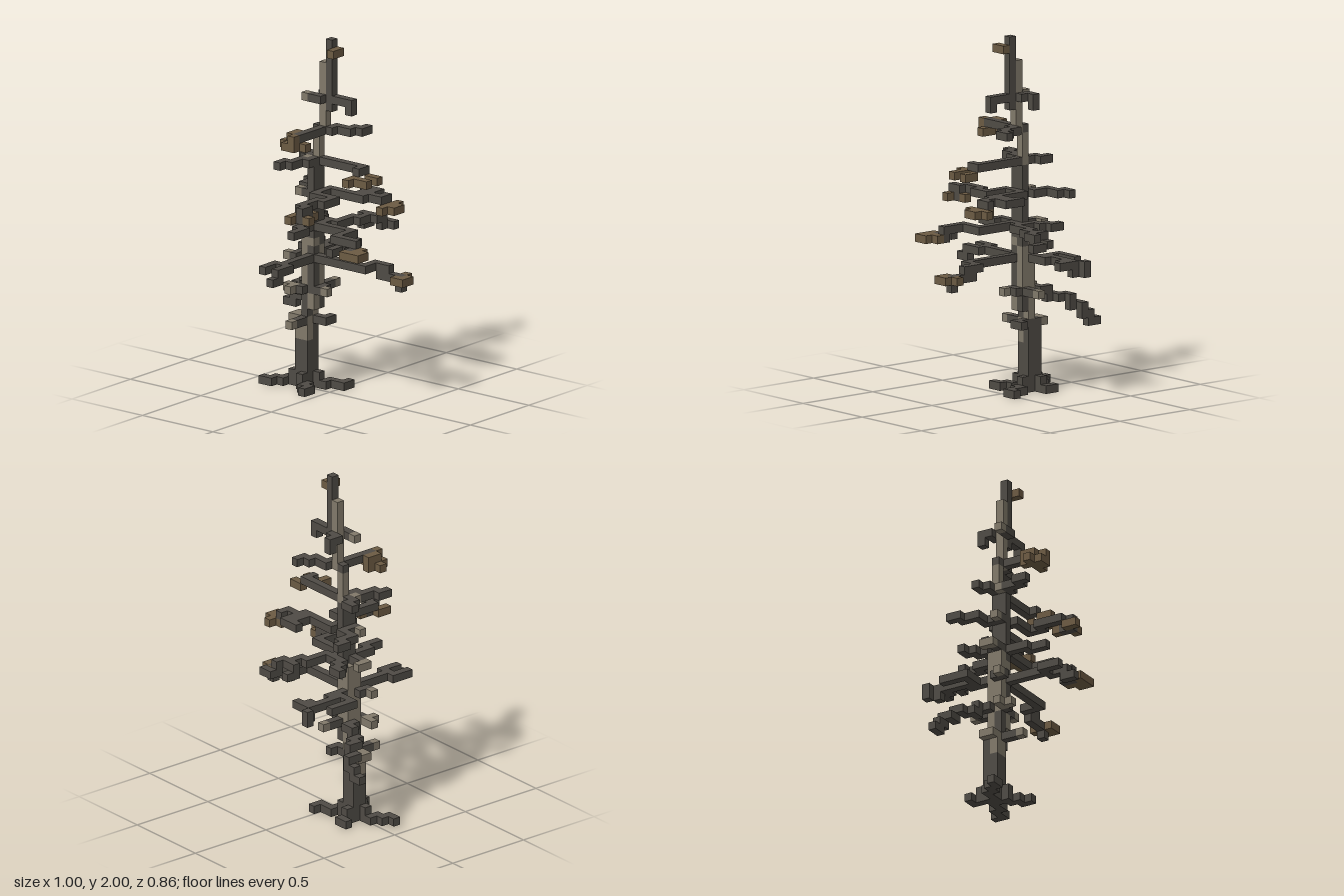
import * as THREE from 'three';
import { mergeGeometries } from 'three/addons/utils/BufferGeometryUtils.js';

const V = 1 / 22; // block size; the tree is 22 x 44 x 19 blocks

const materials = {
  dark: new THREE.MeshStandardMaterial({ name: 'darkBark', color: 0x4f4b45 }),
  pale: new THREE.MeshStandardMaterial({ name: 'paleBark', color: 0x81796a }),
  brown: new THREE.MeshStandardMaterial({ name: 'witheredTip', color: 0x6c5b43 }),
};

export function createModel() {
  const model = new THREE.Group();
  model.name = 'deadTree';
  const taken = new Set(); // each block is placed only once

  // Turns a list of [x, y, z] blocks into one named mesh
  function addBlocks(name, colour, blocks) {
    const boxes = [];
    for (const [x, y, z] of blocks) {
      const key = `${x},${y},${z}`;
      if (taken.has(key)) continue;
      taken.add(key);
      const box = new THREE.BoxGeometry(V, V, V);
      box.translate((x - 10.5) * V, (y + 0.5) * V, (z - 9) * V);
      boxes.push(box);
    }
    if (!boxes.length) return;
    const mesh = new THREE.Mesh(mergeGeometries(boxes), materials[colour]);
    mesh.name = name;
    model.add(mesh);
  }

  // Walks level y through [x, z] corners, sideways first, then in depth
  function limb(name, colour, y, corners) {
    let [x, z] = corners[0];
    const blocks = [[x, y, z]];
    for (const [tx, tz] of corners.slice(1)) {
      while (x !== tx) blocks.push([(x += Math.sign(tx - x)), y, z]);
      while (z !== tz) blocks.push([x, y, (z += Math.sign(tz - z))]);
    }
    addBlocks(name, colour, blocks);
  }

  // Upright run of blocks
  function column(colour, x, z, y0, y1) {
    const blocks = [];
    for (let y = y0; y <= y1; y++) blocks.push([x, y, z]);
    addBlocks('trunk', colour, blocks);
  }

  // Trunk: thick foot, stepping sideways and thinning to the top
  for (const x of [6, 7]) {
    column('dark', x, 8, 0, 8);
    column('dark', x, 9, 0, 5);
    column('pale', x, 9, 6, 8);
  }
  column('pale', 7, 8, 9, 19);
  column('dark', 7, 9, 9, 11);
  column('pale', 7, 9, 12, 19);
  column('dark', 8, 8, 10, 11);
  column('pale', 8, 8, 12, 17);
  column('dark', 8, 8, 18, 27);
  column('pale', 8, 9, 10, 11);
  column('dark', 8, 9, 12, 17);
  column('pale', 8, 9, 18, 18);
  column('dark', 8, 9, 19, 27);
  column('pale', 8, 8, 28, 31);
  column('dark', 8, 8, 32, 32);
  column('pale', 9, 8, 32, 40);
  column('dark', 10, 8, 35, 43);
  limb('topTip', 'brown', 42, [[11, 8], [11, 9]]);

  // Roots
  limb('root', 'dark', 0, [[5, 9], [4, 9], [4, 10], [3, 10], [3, 11], [2, 11]]);
  limb('root', 'dark', 0, [[8, 8], [9, 8], [9, 7], [11, 7], [11, 6]]);
  limb('root', 'dark', 0, [[7, 10], [8, 10], [8, 11], [9, 11], [9, 12]]);
  limb('root', 'dark', 0, [[6, 7], [6, 6], [5, 6]]);
  addBlocks('rootCollar', 'dark', [[5, 1, 9], [8, 1, 8], [7, 1, 10], [6, 1, 7]]);

  // Low stubs
  limb('lowStub', 'pale', 8, [[5, 9], [5, 8]]);
  limb('lowStub', 'dark', 8, [[8, 8], [9, 8], [9, 7]]);
  limb('lowStub', 'dark', 8, [[7, 10], [7, 11]]);
  limb('lowStub', 'pale', 8, [[7, 12]]);
  limb('lowStub', 'dark', 12, [[9, 8], [9, 9]]);
  limb('lowStub', 'pale', 12, [[10, 9]]);
  limb('lowStub', 'dark', 12, [[8, 7], [8, 6]]);
  limb('lowStub', 'pale', 12, [[8, 5]]);
  limb('lowStub', 'dark', 12, [[7, 10]]);
  limb('lowStub', 'pale', 12, [[5, 10], [6, 10], [6, 11]]);

  // Drooping low branch on the right
  limb('droopingBranch', 'dark', 12, [[6, 8], [6, 7], [5, 7]]);
  limb('droopingBranch', 'dark', 11, [[5, 7], [4, 7], [4, 6], [3, 6], [3, 5]]);
  limb('droopingBranch', 'dark', 10, [[3, 5], [2, 5], [2, 4]]);
  limb('droopingBranch', 'dark', 9, [[2, 4], [1, 4]]);
  limb('droopingBranch', 'dark', 8, [[1, 4], [0, 4]]);

  // Widest whorl
  limb('whorl1Branch', 'dark', 16, [[9, 9], [16, 9], [16, 7], [18, 7]]);
  limb('whorl1Branch', 'dark', 15, [[17, 7], [20, 7]]);
  limb('whorl1Tip', 'brown', 15, [[21, 7], [21, 8], [20, 8]]);
  limb('whorl1Tip', 'brown', 15, [[20, 6]]);
  limb('whorl1Tip', 'dark', 14, [[20, 7]]);
  limb('whorl1Branch', 'dark', 16, [[8, 10], [8, 15], [9, 15], [9, 17]]);
  limb('whorl1Branch', 'dark', 15, [[9, 17], [9, 18]]);
  limb('whorl1Branch', 'dark', 16, [[8, 15], [7, 15], [7, 17]]);
  limb('whorl1Branch', 'dark', 16, [[7, 7], [7, 5], [6, 5], [6, 1], [8, 1]]);
  limb('whorl1Branch', 'dark', 16, [[7, 2]]);
  limb('whorl1Branch', 'dark', 15, [[6, 1]]);
  limb('whorl1Branch', 'dark', 16, [[5, 0]]);
  limb('whorl1Branch', 'dark', 15, [[5, 0]]);
  limb('whorl1Branch', 'dark', 16, [[6, 6], [4, 6], [4, 3]]);
  limb('whorl1Branch', 'dark', 16, [[6, 9], [6, 10]]);
  limb('whorl1Branch', 'pale', 16, [[5, 10]]);

  // Second whorl
  limb('whorl2Branch', 'dark', 20, [[9, 9], [14, 9], [14, 12], [17, 12]]);
  limb('whorl2Branch', 'dark', 19, [[15, 13], [15, 14]]);
  limb('whorl2Branch', 'dark', 19, [[17, 12], [17, 13]]);
  limb('whorl2Tip', 'brown', 19, [[17, 14], [19, 14], [19, 13], [18, 13], [18, 12]]);
  limb('whorl2Branch', 'dark', 20, [[9, 8], [9, 7], [10, 7], [10, 4], [11, 4], [11, 2], [12, 2], [12, 1]]);
  limb('whorl2Branch', 'dark', 20, [[10, 2]]);
  limb('whorl2Branch', 'dark', 19, [[10, 2], [10, 1]]);
  limb('whorl2Branch', 'dark', 19, [[12, 1], [12, 0], [13, 0]]);
  limb('whorl2Branch', 'dark', 20, [[8, 7], [7, 7], [7, 6], [6, 6], [6, 5], [5, 5]]);
  limb('whorl2Branch', 'dark', 20, [[8, 10], [8, 12], [9, 12], [9, 14]]);
  limb('whorl2Branch', 'dark', 20, [[7, 9], [6, 9]]);
  limb('whorl2Tip', 'pale', 20, [[5, 9], [5, 8]]);

  // Third whorl
  limb('whorl3Branch', 'dark', 24, [[9, 8], [9, 7], [14, 7], [14, 6], [16, 6], [16, 5]]);
  limb('whorl3Branch', 'dark', 24, [[13, 6], [13, 5], [14, 5], [14, 4], [12, 4]]);
  limb('whorl3Tip', 'brown', 23, [[16, 5], [18, 5], [18, 6], [17, 6], [17, 7]]);
  limb('whorl3Tip', 'brown', 23, [[17, 4]]);
  limb('whorl3Branch', 'dark', 24, [[9, 9], [9, 10], [12, 10], [12, 12], [11, 12], [11, 15], [12, 15], [12, 16]]);
  limb('whorl3Branch', 'dark', 23, [[12, 15], [12, 16]]);
  limb('whorl3Tip', 'brown', 23, [[11, 16], [11, 17]]);
  limb('whorl3Tip', 'brown', 23, [[12, 14]]);
  limb('whorl3Tip', 'brown', 23, [[13, 16]]);
  limb('whorl3Branch', 'dark', 24, [[7, 8], [7, 7], [5, 7], [5, 5], [4, 5], [4, 4]]);
  limb('whorl3Branch', 'dark', 24, [[7, 9]]);
  limb('whorl3Tip', 'pale', 24, [[6, 9]]);

  // Fourth whorl
  limb('whorl4Branch', 'dark', 28, [[9, 8], [15, 8], [15, 9]]);
  limb('whorl4Tip', 'brown', 27, [[15, 11], [15, 10], [17, 10]]);
  limb('whorl4Tip', 'brown', 27, [[16, 8], [17, 8]]);
  limb('whorl4Branch', 'dark', 28, [[7, 8], [6, 8], [6, 7], [5, 7]]);
  limb('whorl4Branch', 'dark', 28, [[8, 9], [8, 10], [7, 10], [7, 12], [6, 12], [6, 13]]);
  limb('whorl4Tip', 'pale', 28, [[7, 9]]);

  // Fifth whorl
  limb('whorl5Branch', 'dark', 32, [[10, 8], [10, 7], [12, 7], [12, 6], [13, 6], [13, 5]]);
  limb('whorl5Branch', 'dark', 32, [[9, 9], [9, 13]]);
  limb('whorl5Tip', 'brown', 32, [[8, 12], [8, 13]]);
  limb('whorl5Tip', 'brown', 32, [[9, 14]]);
  limb('whorl5Tip', 'brown', 31, [[7, 13], [8, 13], [8, 14], [9, 14]]);
  limb('whorl5Tip', 'brown', 31, [[8, 12]]);
  limb('whorl5Tip', 'brown', 31, [[9, 13], [10, 13]]);

  // Top whorl
  limb('whorl6Branch', 'dark', 36, [[11, 8], [13, 8]]);
  limb('whorl6Branch', 'dark', 35, [[13, 8]]);
  limb('whorl6Branch', 'dark', 36, [[9, 7], [8, 7], [8, 6]]);
  limb('whorl6Branch', 'dark', 35, [[8, 6]]);
  limb('whorl6Branch', 'dark', 36, [[9, 9], [8, 9]]);
  limb('whorl6Tip', 'pale', 36, [[7, 9]]);

  return model;
}
